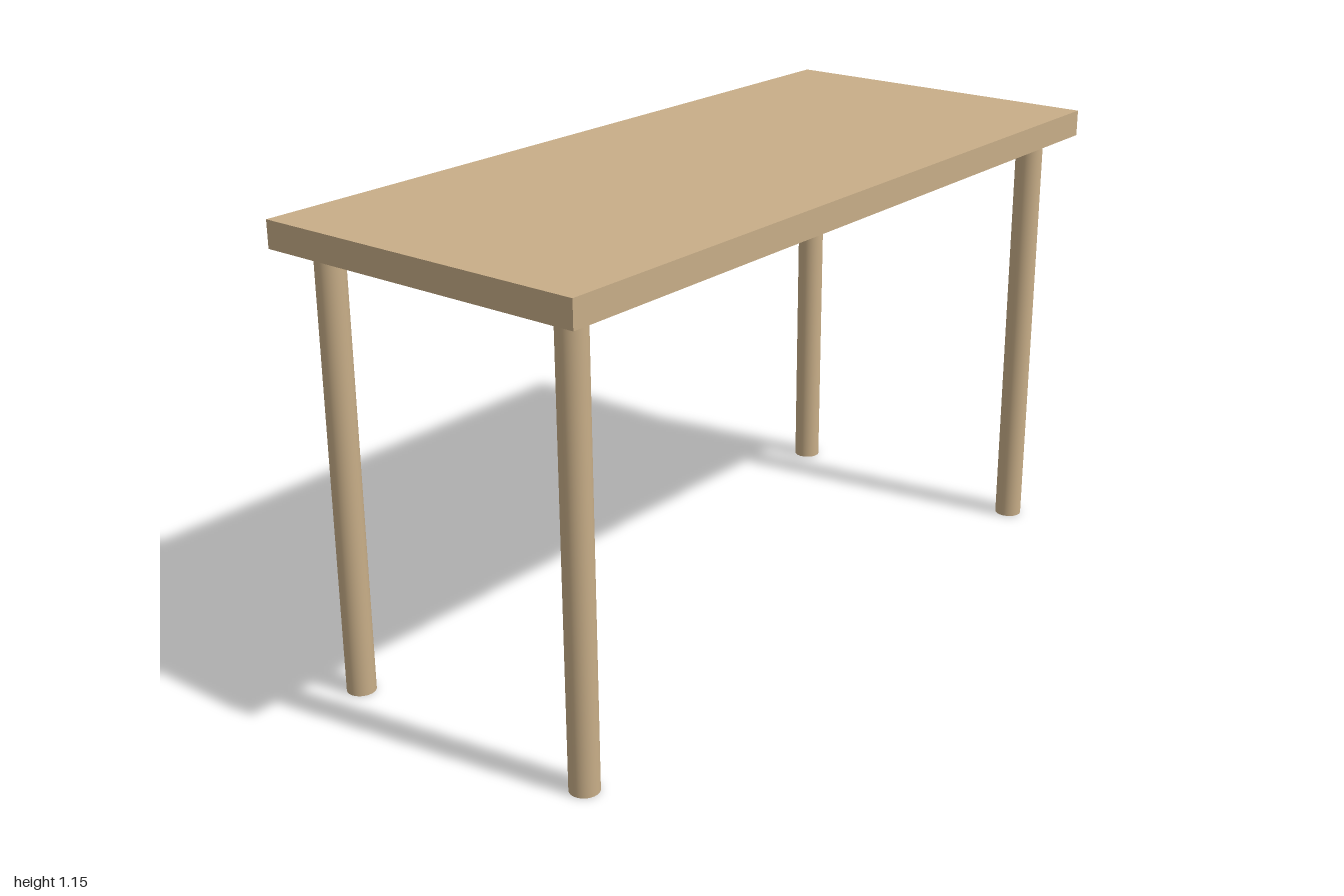
import * as THREE from 'three';

export function createModel() {
  const table = new THREE.Group();
  table.name = 'table';
  const wood = new THREE.MeshStandardMaterial({ color: 0xc8ae88 });

  const legHeight = 1.087, topThickness = 0.066;

  // Flat rectangular slab
  const top = new THREE.Mesh(new THREE.BoxGeometry(2, topThickness, 0.876), wood);
  top.name = 'tableTop';
  top.position.y = legHeight + topThickness / 2;
  table.add(top);

  // Four round legs, set in from the corners
  const legGeometry = new THREE.CylinderGeometry(0.035, 0.035, legHeight, 32);
  for (const [zName, z] of [['front', 0.35], ['back', -0.35]]) {
    for (const [xName, x] of [['Left', 0.908], ['Right', -0.908]]) {
      const leg = new THREE.Mesh(legGeometry, wood);
      leg.name = `${zName}${xName}Leg`;
      leg.position.set(x, legHeight / 2, z);
      table.add(leg);
    }
  }
  return table;
}
